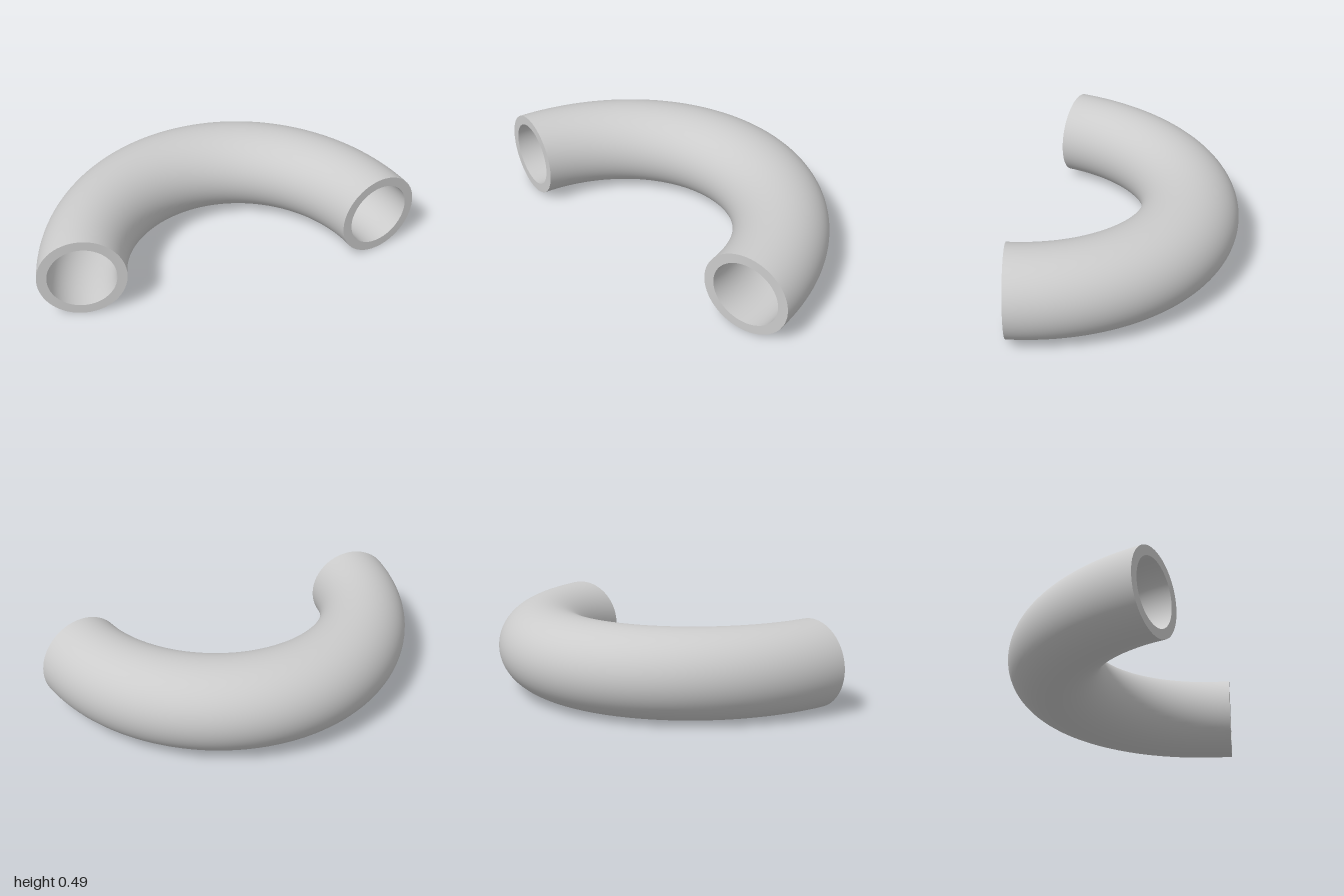
import * as THREE from 'three';

const BEND = 0.884;     // bend radius of the centre line
const OUTER = 0.2425;   // outer pipe radius
const INNER = 0.188;    // bore radius
const START = THREE.MathUtils.degToRad(20.3);
const END = Math.PI;
const STRETCH = 1.134;  // bend is stretched along its diagonal

// Lays a geometry built around the z axis into its final position
function place(geometry) {
  return geometry
    .scale(1, STRETCH, 1)
    .rotateX(-Math.PI / 2)
    .rotateY(Math.PI / 4)
    .translate(0.385, OUTER, 0.2);
}

// Bent tube wall between the two end angles
function bentWall(radius) {
  return place(new THREE.TorusGeometry(BEND, radius, 64, 96, END - START).rotateZ(START));
}

// Turns a surface inside out
function flip(geometry) {
  geometry.index.array.reverse();
  const normal = geometry.attributes.normal;
  for (let i = 0; i < normal.array.length; i++) normal.array[i] *= -1;
  return geometry;
}

// Flat ring closing the wall at one end
function endRing(angle, facing) {
  return place(new THREE.RingGeometry(INNER, OUTER, 64)
    .rotateX(facing * Math.PI / 2)
    .translate(BEND, 0, 0)
    .rotateZ(angle));
}

export function createModel() {
  const group = new THREE.Group();
  group.name = 'curvedPipe';
  const material = new THREE.MeshStandardMaterial({ color: 0xcccccc });
  const parts = {
    outerWall: bentWall(OUTER),
    bore: flip(bentWall(INNER)),
    backEndRing: endRing(START, 1),
    frontEndRing: endRing(END, -1),
  };
  for (const [name, geometry] of Object.entries(parts)) {
    const mesh = new THREE.Mesh(geometry, material);
    mesh.name = name;
    group.add(mesh);
  }
  return group;
}
